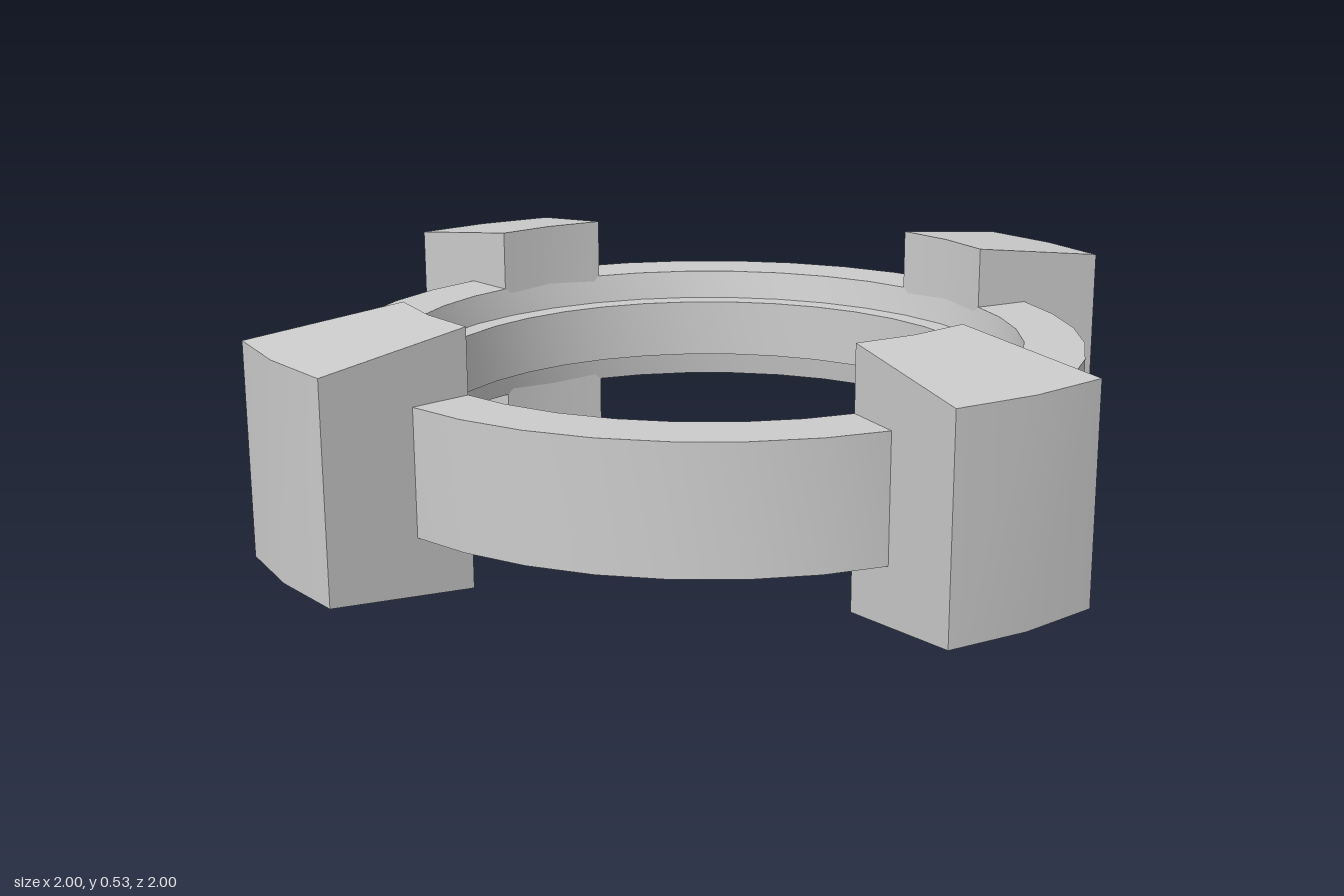
import * as THREE from 'three';
import { toCreasedNormals } from 'three/addons/utils/BufferGeometryUtils.js';

const MID = 0.265; // height of the horizontal mirror plane
const lerp = THREE.MathUtils.lerp;

// Revolved ring with a raised lip running around its inner wall
function ringGeometry() {
  const half = [[0.8, 0.13], [0.672, 0.13], [0.66, 0.066], [0.61, 0.066]];
  const lower = half.map(([r, h]) => [r, -h]).reverse();
  const profile = [...half, ...lower, half[0]].map(([r, h]) => new THREE.Vector2(r, MID + h));
  return toCreasedNormals(new THREE.LatheGeometry(profile, 36), 0.6);
}

// Curved block: a box bent around the ring axis, tapering in height outwards
function lugGeometry() {
  const geo = new THREE.BoxGeometry(2, 2, 1, 2, 1, 1);
  const p = geo.attributes.position;
  for (let i = 0; i < p.count; i++) {
    const t = p.getZ(i) + 0.5;
    const angle = p.getX(i) * lerp(0.197, 0.176, t);
    const radius = lerp(0.671, 1, t);
    p.setXYZ(i, radius * Math.sin(angle), MID + p.getY(i) * lerp(0.265, 0.222, t), radius * Math.cos(angle));
  }
  return toCreasedNormals(geo, 0.6);
}

export function createModel() {
  const model = new THREE.Group();
  model.name = 'luggedRing';
  const material = new THREE.MeshStandardMaterial({ color: 0xcccccc });

  const ring = new THREE.Mesh(ringGeometry(), material);
  ring.name = 'ring';
  model.add(ring);

  // Four lugs at quarter turns
  const lug = lugGeometry();
  ['frontLug', 'leftLug', 'backLug', 'rightLug'].forEach((name, i) => {
    const mesh = new THREE.Mesh(lug, material);
    mesh.name = name;
    mesh.rotation.y = (i * Math.PI) / 2;
    model.add(mesh);
  });
  return model;
}
